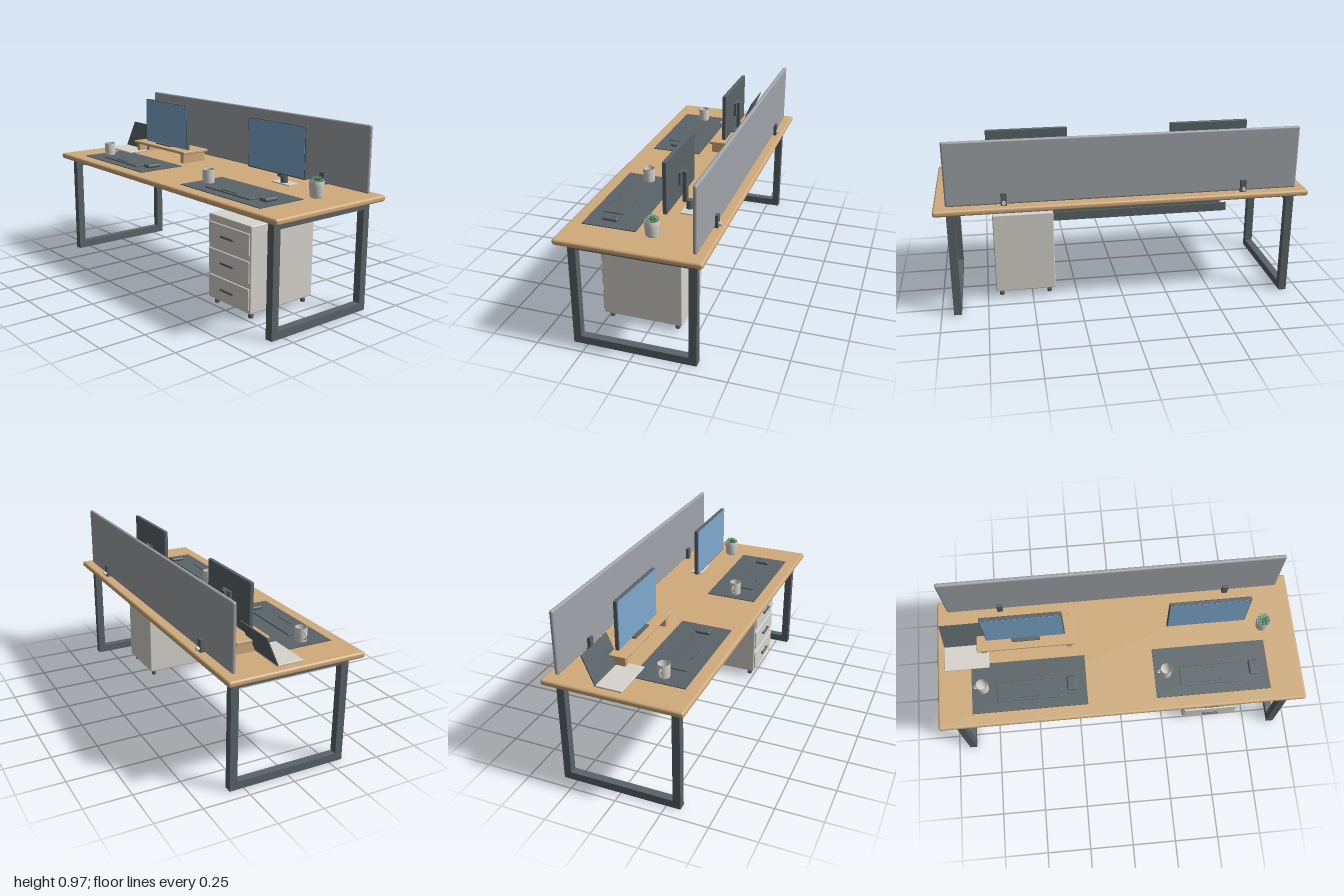
import * as THREE from 'three';
import { RoundedBoxGeometry } from 'three/addons/geometries/RoundedBoxGeometry.js';

const material = (name, color) => {
  const m = new THREE.MeshStandardMaterial({ color });
  m.name = name;
  return m;
};

export function createModel() {
  const wood = material('oak', 0xd0ab7c);
  const steel = material('dark steel', 0x5a6468);
  const white = material('warm white', 0xd8d5ce);
  const felt = material('grey felt', 0xa0a4a9);
  const blue = material('screen blue', 0x7eaad0);
  const green = material('leaf green', 0x5f9a78);

  const model = new THREE.Group();
  model.name = 'deskWorkstation';
  const group = (name, x = 0, y = 0, z = 0) => {
    const g = new THREE.Group();
    g.name = name;
    g.position.set(x, y, z);
    model.add(g);
    return g;
  };
  const add = (parent, name, geo, mat, x = 0, y = 0, z = 0) => {
    const m = new THREE.Mesh(geo, mat);
    m.name = name;
    m.position.set(x, y, z);
    parent.add(m);
    return m;
  };
  // Box given by its min and max on each axis; optional edge radius
  const box = (parent, name, mat, [x0, x1], [y0, y1], [z0, z1], r = 0) => {
    const s = [x1 - x0, y1 - y0, z1 - z0];
    const geo = r ? new RoundedBoxGeometry(...s, 3, r) : new THREE.BoxGeometry(...s);
    return add(parent, name, geo, mat, (x0 + x1) / 2, (y0 + y1) / 2, (z0 + z1) / 2);
  };

  const TOP = 0.619;

  // Table top
  box(model, 'tableTop', wood, [-1, 1], [0.587, TOP], [-0.373, 0.373], 0.012);

  // Rectangular leg loops at both ends
  const loop = new THREE.Shape();
  loop.moveTo(-0.326, 0).lineTo(0.326, 0).lineTo(0.326, 0.587).lineTo(-0.326, 0.587).closePath();
  const hole = new THREE.Path();
  hole.moveTo(-0.285, 0.043).lineTo(-0.285, 0.545).lineTo(0.285, 0.545).lineTo(0.285, 0.043).closePath();
  loop.holes.push(hole);
  const loopGeo = new THREE.ExtrudeGeometry(loop, { depth: 0.042, bevelEnabled: false });
  loopGeo.translate(0, 0, -0.021).rotateY(Math.PI / 2);
  for (const s of [-1, 1]) add(model, 'legFrame', loopGeo, steel, s * 0.914, 0, 0);
  box(model, 'crossRail', steel, [-0.895, 0.895], [0.545, 0.587], [-0.05, -0.01]);

  // Open cable tray
  const tray = group('cableTray');
  box(tray, 'trayFloor', steel, [-0.6, 0.6], [0.449, 0.456], [-0.17, -0.05]);
  box(tray, 'trayBack', steel, [-0.6, 0.6], [0.456, 0.497], [-0.17, -0.163]);
  box(tray, 'trayFront', steel, [-0.6, 0.6], [0.456, 0.497], [-0.057, -0.05]);

  // Drawer cabinet on casters
  const cabinet = group('drawerCabinet');
  box(cabinet, 'cabinetBody', white, [0.372, 0.703], [0.043, 0.5], [-0.173, 0.258], 0.006);
  for (const y of [0.117, 0.26, 0.402]) {
    box(cabinet, 'drawerFront', white, [0.38, 0.695], [y - 0.058, y + 0.058], [0.25, 0.266], 0.004);
    box(cabinet, 'drawerHandle', steel, [0.488, 0.588], [y - 0.006, y + 0.006], [0.271, 0.281], 0.003);
    for (const x of [0.5, 0.576])
      box(cabinet, 'handlePost', steel, [x - 0.004, x + 0.004], [y - 0.004, y + 0.004], [0.264, 0.273]);
  }
  const wheel = new THREE.CylinderGeometry(0.013, 0.013, 0.018, 16);
  const stem = new THREE.CylinderGeometry(0.006, 0.006, 0.02, 10);
  for (const x of [0.404, 0.671]) for (const z of [-0.14, 0.225]) {
    add(cabinet, 'casterFoot', wheel, steel, x, 0.019, z);
    add(cabinet, 'casterStem', stem, steel, x, 0.036, z);
  }

  // Privacy panel with clamps
  box(model, 'privacyPanel', felt, [-0.94, 0.936], [0.622, 0.967], [-0.326, -0.304], 0.01);
  for (const x of [-0.64, 0.638]) {
    const clamp = group('panelClamp', x, 0, 0);
    box(clamp, 'clampFront', steel, [-0.016, 0.016], [TOP, 0.685], [-0.304, -0.286]);
    box(clamp, 'clampBack', steel, [-0.016, 0.016], [TOP, 0.685], [-0.342, -0.326]);
    box(clamp, 'clampFoot', steel, [-0.016, 0.016], [TOP, 0.627], [-0.342, -0.286]);
    const knob = add(clamp, 'clampKnob', new THREE.CylinderGeometry(0.01, 0.01, 0.016, 16), white, 0, 0.637, -0.349);
    knob.rotation.x = Math.PI / 2;
  }

  // Monitors
  const monitor = (x, z) => {
    const g = group('monitor', x, 0, z);
    box(g, 'monitorCase', steel, [-0.217, 0.217], [0.684, 0.956], [-0.011, 0.01], 0.003);
    box(g, 'monitorScreen', blue, [-0.212, 0.212], [0.691, 0.951], [0.009, 0.0115]);
    return g;
  };
  const left = monitor(-0.5, -0.1);
  box(left, 'monitorNeck', steel, [-0.016, 0.016], [0.69, 0.856], [-0.041, -0.024]);
  box(left, 'monitorMount', steel, [-0.04, 0.04], [0.78, 0.856], [-0.025, -0.01]);
  box(left, 'monitorBase', steel, [-0.078, 0.078], [0.69, 0.697], [-0.07, 0.033]);
  const right = monitor(0.498, -0.093);
  box(right, 'monitorNeck', steel, [-0.016, 0.016], [0.66, 0.828], [-0.045, -0.02], 0.004);
  box(right, 'monitorMount', steel, [-0.04, 0.04], [0.76, 0.828], [-0.021, -0.01]);
  add(right, 'standCollar', new THREE.CylinderGeometry(0.018, 0.02, 0.05, 24), steel, 0, 0.646, -0.057);
  box(right, 'standBase', white, [-0.067, 0.067], [TOP, 0.625], [-0.098, -0.028]);

  // Monitor riser
  const riser = group('monitorRiser');
  box(riser, 'riserShelf', wood, [-0.77, -0.234], [0.674, 0.69], [-0.21, -0.028], 0.004);
  for (const x of [-0.737, -0.267])
    box(riser, 'riserLeg', wood, [x - 0.014, x + 0.014], [TOP, 0.675], [-0.2, -0.04]);

  // Laptop with its lid leaning back
  const laptop = group('laptop', -0.835, TOP, 0);
  box(laptop, 'laptopBase', white, [-0.123, 0.123], [0, 0.01], [-0.098, 0.045], 0.003);
  const lid = box(laptop, 'laptopLid', steel, [-0.123, 0.123], [0, 0.162], [-0.003, 0.003]);
  lid.geometry.translate(0, 0.081, 0);
  lid.position.set(0, 0.008, -0.095);
  lid.rotation.x = -0.41;

  // Desk mats with keyboard, mouse and mug
  const mugProfile = [[0, 0], [0.027, 0], [0.031, 0.005], [0.032, 0.075], [0.029, 0.075], [0.027, 0.008], [0, 0.008]]
    .map(([r, y]) => new THREE.Vector2(r, y));
  const mugMat = white;
  for (const x of [-0.5, 0.5]) {
    const set = group('deskSet', x, TOP, 0);
    box(set, 'deskMat', steel, [-0.313, 0.313], [0, 0.004], [0.02, 0.303]);
    box(set, 'keyboard', steel, [-0.175, 0.175], [0.004, 0.012], [0.14, 0.25], 0.003);
    box(set, 'spaceBar', steel, [-0.06, 0.06], [0.011, 0.016], [0.222, 0.235]);
    box(set, 'mouse', steel, [0.206, 0.26], [0.004, 0.024], [0.137, 0.218], 0.009);
    const scroll = add(set, 'scrollWheel', new THREE.CylinderGeometry(0.006, 0.006, 0.006, 14), steel, 0.233, 0.022, 0.16);
    scroll.rotation.z = Math.PI / 2;
    add(set, 'mug', new THREE.LatheGeometry(mugProfile, 32), mugMat, -0.25, 0.002, 0.165);
    const handle = add(set, 'mugHandle', new THREE.TorusGeometry(0.018, 0.004, 8, 20, Math.PI), mugMat, -0.28, 0.04, 0.165);
    handle.rotation.z = Math.PI / 2;
  }

  // Potted succulent
  const plant = group('pottedPlant', 0.816, TOP, -0.066);
  const potProfile = [[0, 0], [0.028, 0], [0.033, 0.006], [0.038, 0.06], [0.038, 0.083], [0.034, 0.086], [0.032, 0.072], [0, 0.072]]
    .map(([r, y]) => new THREE.Vector2(r, y));
  add(plant, 'pot', new THREE.LatheGeometry(potProfile, 32), white);
  add(plant, 'soil', new THREE.CylinderGeometry(0.032, 0.032, 0.004, 24), steel, 0, 0.075, 0);
  const leafGeo = new THREE.SphereGeometry(1, 10, 8).scale(0.016, 0.005, 0.008);
  for (const [count, r, y, tilt] of [[9, 0.022, 0.085, 0.35], [6, 0.012, 0.092, 0.7], [3, 0.004, 0.093, 1.1]])
    for (let i = 0; i < count; i++) {
      const a = (i / count) * Math.PI * 2 + r * 20;
      const leaf = add(plant, 'leaf', leafGeo, green, Math.cos(a) * r, y, -Math.sin(a) * r);
      leaf.rotation.set(0, a, tilt);
    }

  return model;
}
